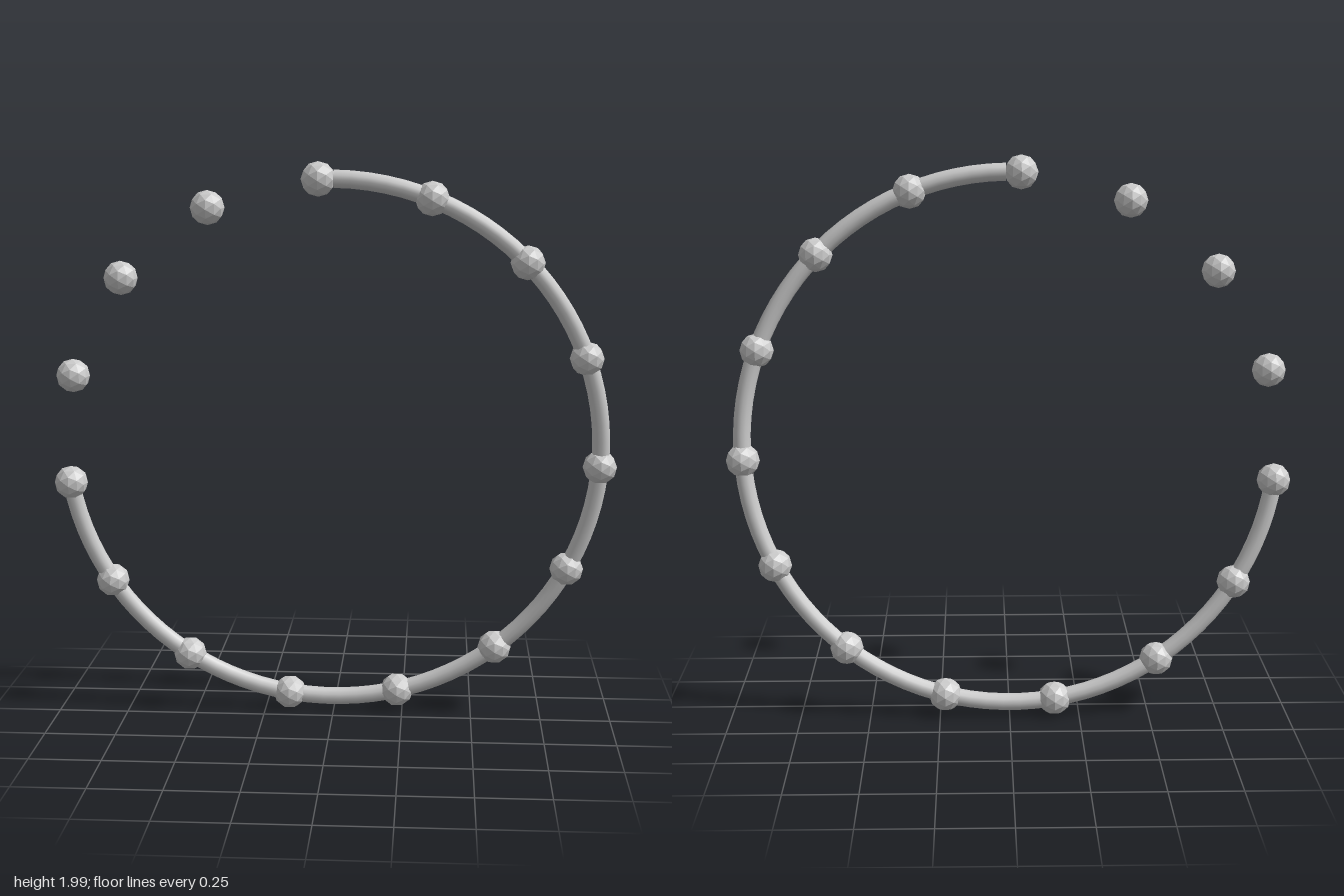
import * as THREE from 'three';

export function createModel() {
  const model = new THREE.Group();
  model.name = 'beadedRing';

  const R = 0.945, tubeR = 0.031, beadR = 0.06, beadCount = 15;
  const rad = THREE.MathUtils.degToRad;

  // Upright ring, leaning slightly towards the front
  const ring = new THREE.Group();
  ring.name = 'tiltedRing';
  ring.position.set(-0.004, 0.989, -0.003);
  ring.rotation.x = rad(5);
  model.add(ring);

  // Open band: runs from the top, down the left side and round to the right
  const start = -171.6, end = 89.2;
  const band = new THREE.Mesh(
    new THREE.TorusGeometry(R, tubeR, 12, 72, rad(end - start)),
    new THREE.MeshStandardMaterial({ color: 0xcccccc, side: THREE.DoubleSide })
  );
  band.name = 'band';
  band.rotation.z = rad(start);
  ring.add(band);

  // Faceted beads, evenly spaced round the full circle
  const beadGeometry = new THREE.IcosahedronGeometry(beadR, 1);
  const beadMaterial = new THREE.MeshStandardMaterial({ color: 0xcccccc, flatShading: true });
  for (let i = 0; i < beadCount; i++) {
    const a = rad(-3.6 + (i * 360) / beadCount);
    const bead = new THREE.Mesh(beadGeometry, beadMaterial);
    bead.name = `bead${i + 1}`;
    bead.position.set(R * Math.cos(a), R * Math.sin(a), 0);
    ring.add(bead);
  }
  return model;
}
